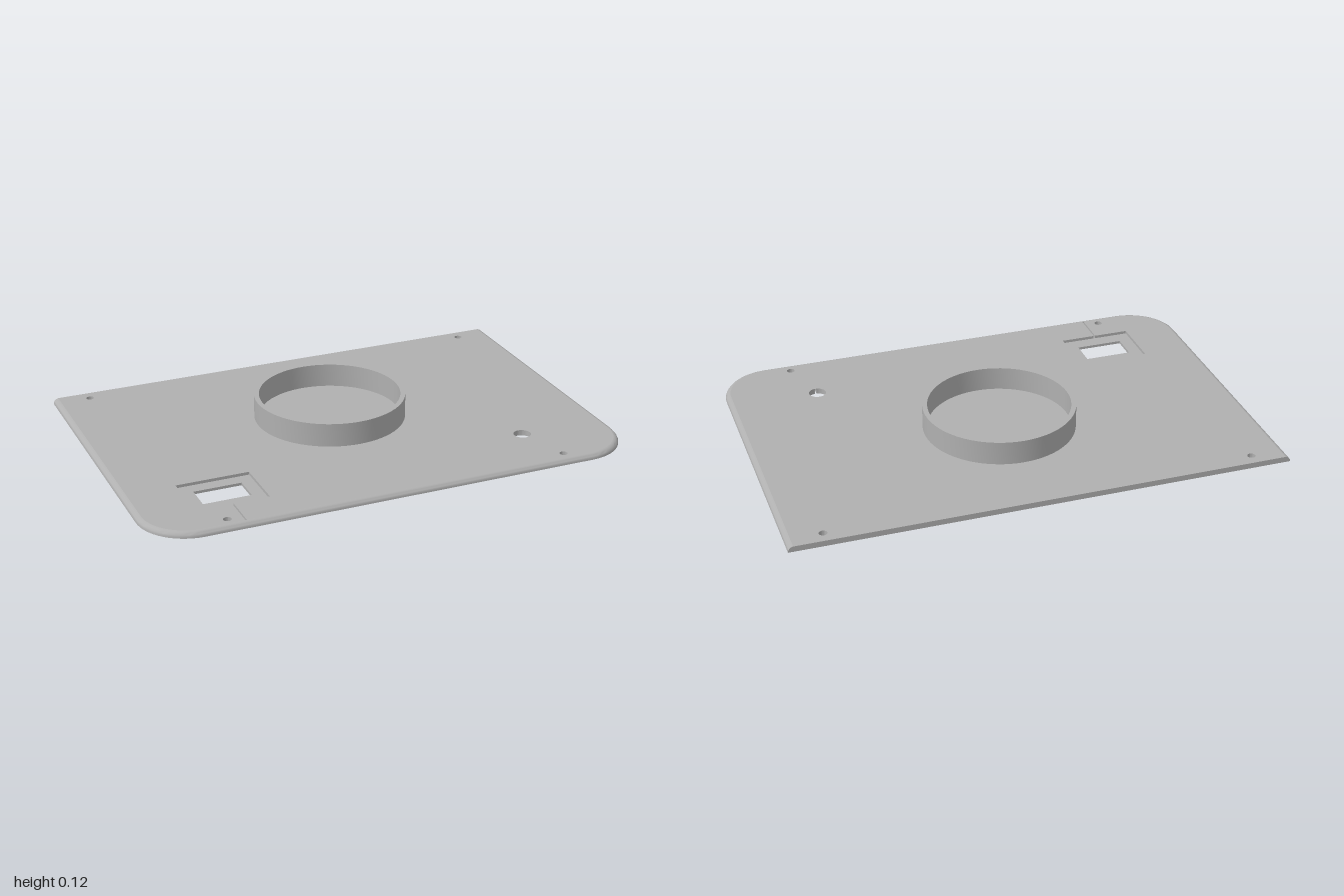
import * as THREE from 'three';
import { toCreasedNormals } from 'three/addons/utils/BufferGeometryUtils.js';

const T = 0.023;        // plate thickness
const FLOOR = 0.011;    // height of the recess floor
const BACK = -0.673, FRONT = 0.67, CORNER = 0.2;

// Outlines are lists of (x, z) points, running from +x towards +z.
const circle = (x, z, r, n = 24) => Array.from({ length: n }, (_, i) => {
  const a = (i / n) * Math.PI * 2;
  return new THREE.Vector2(x + r * Math.cos(a), z + r * Math.sin(a));
});
const points = (list) => list.map(([x, z]) => new THREE.Vector2(x, z));
const rect = (x0, x1, z0, z1) => points([[x0, z0], [x1, z0], [x1, z1], [x0, z1]]);

// Plate outline: square back corners, round front corners; the back is never inset
function plateOutline(inset) {
  const r = CORNER - inset, cx = 1 - CORNER, cz = FRONT - CORNER, n = 16;
  const pts = points([[-1 + inset, BACK], [1 - inset, BACK]]);
  for (const side of [1, -1]) {
    for (let i = 0; i <= n; i++) {
      const a = (i / n + (side > 0 ? 0 : 1)) * Math.PI / 2;
      pts.push(new THREE.Vector2(side * cx + r * Math.cos(a), cz + r * Math.sin(a)));
    }
  }
  return pts;
}

// Flat face with holes at height y, facing up or down
function face(outline, holes, y, up) {
  const shape = new THREE.Shape(outline);
  shape.holes = holes.map((h) => new THREE.Path(h));
  const geo = new THREE.ShapeGeometry(shape);
  geo.rotateX(Math.PI / 2).translate(0, y, 0);
  if (up) {
    geo.setIndex(Array.from(geo.index.array).reverse());
    geo.computeVertexNormals();
  }
  return geo;
}

// Closed wall joining outlines stacked at rising heights
function wall(rings) {
  const pos = [], index = [], n = rings[0].pts.length;
  rings.forEach(({ pts, y }) => pts.forEach((p) => pos.push(p.x, y, p.y)));
  for (let k = 0; k < rings.length - 1; k++) {
    for (let i = 0; i < n; i++) {
      const a = k * n + i, b = k * n + (i + 1) % n;
      index.push(a, a + n, b, b, a + n, b + n);
    }
  }
  const geo = new THREE.BufferGeometry();
  geo.setAttribute('position', new THREE.Float32BufferAttribute(pos, 3));
  geo.setIndex(index);
  return toCreasedNormals(geo, 0.6);
}
const holeWall = (outline, y0, y1) => {
  const pts = [...outline].reverse();
  return wall([{ pts, y: y0 }, { pts, y: y1 }]);
};

export function createModel() {
  const model = new THREE.Group();
  model.name = 'coverPlate';
  const grey = new THREE.MeshStandardMaterial({ color: 0xb0b0b0, side: THREE.DoubleSide });
  grey.name = 'grey';
  const add = (name, geo) => {
    const mesh = new THREE.Mesh(geo, grey);
    mesh.name = name;
    model.add(mesh);
    return mesh;
  };

  // Openings
  const screws = [[-0.857, -0.622], [0.857, -0.622], [-0.697, 0.615], [0.697, 0.615]]
    .map(([x, z]) => circle(x, z, 0.016));
  const windowHole = rect(-0.733, -0.54, 0.338, 0.448);

  // Recess with a thin wire groove leading to the front
  const gx = -0.637, w = 0.003;
  const recess = points([
    [-0.785, 0.285], [-0.49, 0.285], [-0.49, 0.507], [gx + w, 0.507],
    [gx + w, 0.648], [gx - w, 0.648], [gx - w, 0.507], [-0.785, 0.507],
  ]);

  // Round cable hole with a thin slit leading to the front
  const kx = 0.634, kz = 0.395, kr = 0.035, gap = Math.asin(w / kr);
  const keyhole = points([[kx + w, 0.655], [kx - w, 0.655]]);
  for (let i = 0; i <= 32; i++) {
    const a = Math.PI / 2 + gap + (i / 32) * (Math.PI * 2 - gap * 2);
    keyhole.push(new THREE.Vector2(kx + kr * Math.cos(a), kz + kr * Math.sin(a)));
  }

  // Plate: rounded rim, top and bottom
  const profile = [[0, 0], [0, 0.005], [0.003, 0.012], [0.009, 0.019], [0.016, 0.022], [0.02, T]];
  add('plateRim', wall(profile.map(([d, y]) => ({ pts: plateOutline(d), y }))));
  add('plateTop', face(plateOutline(0.02).map((p) => p), [...screws, recess, circle(kx, kz, kr, 32)], T, true));
  add('plateBottom', face(plateOutline(0), [...screws, windowHole, keyhole], 0, false));

  // Walls of the openings
  screws.forEach((s) => add('screwHole', holeWall(s, 0, T)));
  add('cableHole', holeWall(keyhole, 0, T - 0.002));
  add('cableHoleRim', holeWall(circle(kx, kz, kr, 32), T - 0.002, T));
  add('recessFloor', face(recess, [windowHole], FLOOR, true));
  add('recessWall', holeWall(recess, FLOOR, T));
  add('windowWall', holeWall(windowHole, 0, FLOOR));

  // Raised collar
  const collar = [[0.288, T], [0.288, 0.12], [0.308, 0.12], [0.308, T]]
    .map(([r, y]) => new THREE.Vector2(r, y)).reverse();
  const ring = toCreasedNormals(new THREE.LatheGeometry(collar, 72), 0.6);
  add('collar', ring).position.z = -0.082;

  return model;
}
